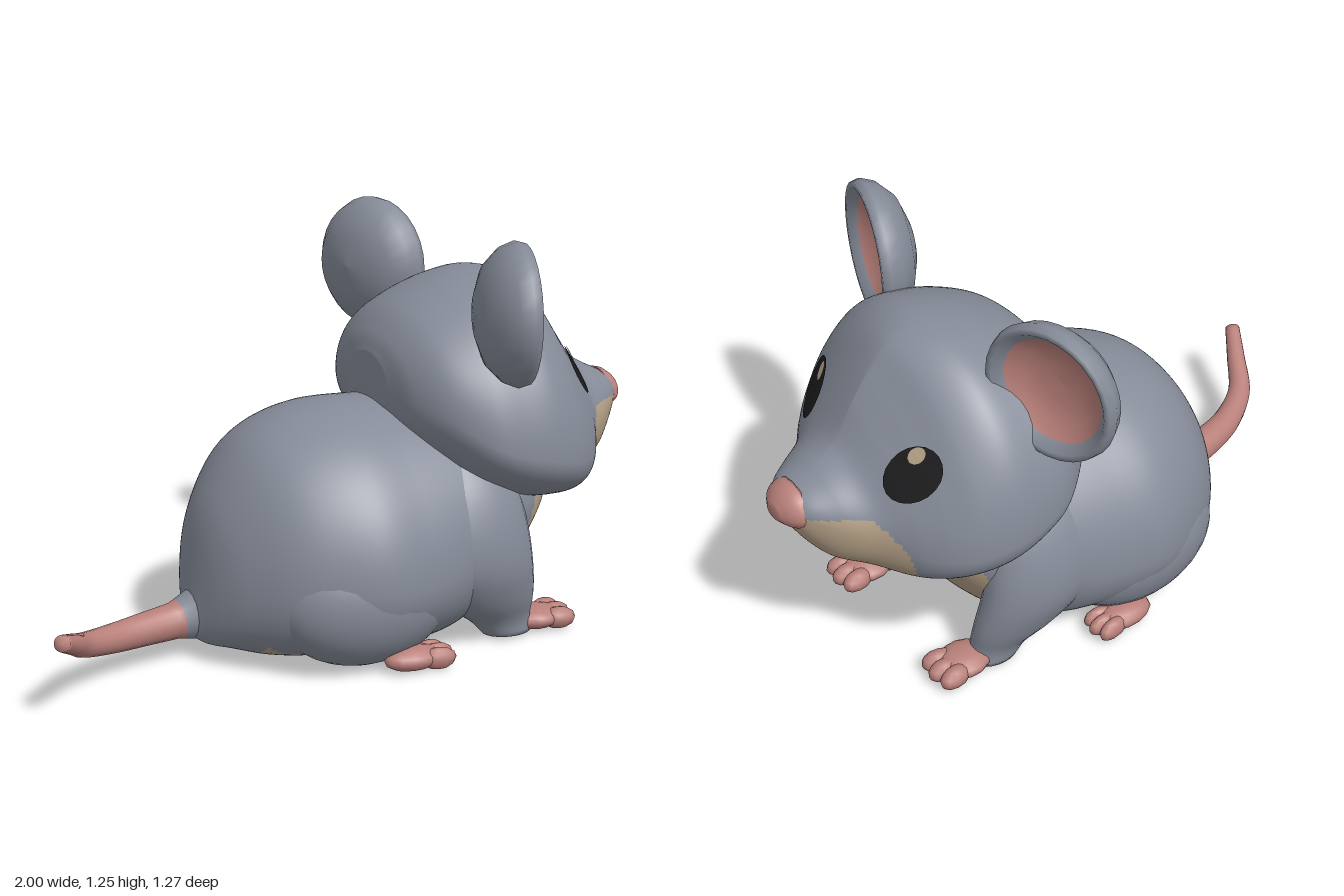
import * as THREE from 'three';

const material = (name, color) => {
  const m = new THREE.MeshStandardMaterial({ color });
  m.name = name;
  return m;
};

export function createModel() {
  const grey = material('grey fur', 0x858b98);
  const cream = material('cream fur', 0xb3a086);
  const pink = material('pink skin', 0xb9807a);
  const black = material('black eye', 0x1b1b1d);
  const model = new THREE.Group();
  model.name = 'mouse';

  function add(name, geometry, mat, parent = model) {
    const mesh = new THREE.Mesh(geometry, mat);
    mesh.name = name;
    parent.add(mesh);
    return mesh;
  }

  // Smoothly resample a short list of cross-sections
  function resample(sections, steps) {
    const size = sections[0].length;
    const curve = new THREE.CubicInterpolant(sections.map((_, i) => i), sections.flat(), size, new Float32Array(size));
    return Array.from({ length: steps + 1 }, (_, i) =>
      Array.from(curve.evaluate((i / steps) * (sections.length - 1))));
  }

  // Skin closed rings of points, with a material group chosen per quad
  function loft(rings, pick = () => 0) {
    const n = rings[0].length;
    const centre = (ring) => ring.reduce((s, p) => s.add(p), new THREE.Vector3()).divideScalar(n);
    const all = [rings[0].map(() => centre(rings[0])), ...rings, rings[0].map(() => centre(rings.at(-1)))];
    const points = all.flat();
    const lists = [[], []];
    for (let i = 0; i < all.length - 1; i++) {
      for (let j = 0; j < n; j++) {
        const k = (j + 1) % n;
        const [a, b, c, d] = [i * n + j, i * n + k, (i + 1) * n + k, (i + 1) * n + j];
        const mid = new THREE.Vector3().add(points[a]).add(points[b]).add(points[c]).add(points[d]).divideScalar(4);
        lists[pick(mid)].push(a, b, c, a, c, d);
      }
    }
    const geo = new THREE.BufferGeometry().setFromPoints(points);
    geo.setIndex(lists.flat());
    geo.addGroup(0, lists[0].length, 0);
    geo.addGroup(lists[0].length, lists[1].length, 1);
    geo.computeVertexNormals();
    return geo;
  }

  // Upright slices along x: [x, bottom, widest height, top, half width, upper slimness]
  function slices(sections, steps, sides, lowPower) {
    return resample(sections, steps).map(([x, bottom, mid, top, w, slim]) =>
      Array.from({ length: sides }, (_, j) => {
        const a = (j / sides) * Math.PI * 2;
        const c = Math.cos(a), s = Math.sin(a);
        const z = Math.sign(s) * Math.abs(s) ** (c < 0 ? lowPower : slim) * w;
        return new THREE.Vector3(x, mid + c * (c > 0 ? top - mid : mid - bottom), z);
      }));
  }

  // Body with a cream belly and chest
  const bodyRings = slices([
    [-0.475, 0.07, 0.13, 0.20, 0.06, 1], [-0.44, 0.05, 0.20, 0.40, 0.16, 1], [-0.39, 0.04, 0.24, 0.52, 0.25, 1],
    [-0.30, 0.02, 0.26, 0.64, 0.355, 1], [-0.19, 0.01, 0.27, 0.705, 0.425, 1], [-0.05, 0.005, 0.27, 0.735, 0.47, 1],
    [0.10, 0.005, 0.27, 0.735, 0.455, 1], [0.25, 0.015, 0.30, 0.73, 0.42, 1], [0.37, 0.06, 0.36, 0.72, 0.37, 1],
    [0.48, 0.17, 0.42, 0.68, 0.33, 1], [0.57, 0.30, 0.46, 0.62, 0.28, 1], [0.63, 0.40, 0.48, 0.56, 0.20, 1],
  ], 120, 96, 0.75);
  add('body', loft(bodyRings, (p) => {
    const belly = p.x > -0.33 && Math.abs(p.z) < 0.25 && p.y < 0.16;
    const chest = p.x > 0.34 && Math.abs(p.z) < 0.31 && p.y < 0.46;
    return belly || chest ? 1 : 0;
  }), [grey, cream]);

  // Head tapering to the snout, with a cream muzzle and jaw
  const headRings = slices([
    [0.115, 0.70, 0.78, 0.87, 0.12, 1], [0.14, 0.65, 0.76, 0.93, 0.25, 1], [0.20, 0.58, 0.73, 1.00, 0.36, 1],
    [0.30, 0.50, 0.66, 1.055, 0.44, 1], [0.40, 0.45, 0.62, 1.09, 0.465, 1], [0.50, 0.42, 0.60, 1.10, 0.47, 1],
    [0.59, 0.41, 0.58, 1.07, 0.445, 1.25], [0.66, 0.405, 0.57, 1.00, 0.40, 1.6], [0.72, 0.41, 0.57, 0.92, 0.335, 1.7],
    [0.79, 0.435, 0.60, 0.81, 0.235, 1.4], [0.87, 0.475, 0.63, 0.76, 0.165, 1.1], [0.93, 0.55, 0.66, 0.73, 0.11, 1],
    [0.96, 0.61, 0.665, 0.71, 0.075, 1],
  ], 130, 96, 0.75);
  const head = add('head', loft(headRings, (p) => {
    const side = Math.abs(p.z);
    const lip = 0.668 - 0.9 * Math.max(0, side - 0.2);
    const muzzle = p.y < lip && p.x > 0.715 + 0.3 * Math.max(0, p.y - 0.45);
    const jaw = p.y < 0.5 && p.x > 0.42 && side < 0.29;
    return muzzle || jaw ? 1 : 0;
  }), [grey, cream]);

  // Blunt nose closing the snout
  add('nose', loft(slices([
    [0.93, 0.605, 0.66, 0.735, 0.092, 1], [0.955, 0.605, 0.66, 0.728, 0.088, 1],
    [0.98, 0.62, 0.66, 0.71, 0.068, 1], [1.0, 0.64, 0.66, 0.685, 0.03, 1],
  ], 12, 16, 1)), [pink, pink]);

  // Thin disc laid onto the face
  head.updateMatrixWorld(true);
  const ray = new THREE.Raycaster();
  function faceSpot(name, y, z, ry, rz, lift, mat) {
    const geo = new THREE.RingGeometry(0.0001, 1, 20, 5);
    const pos = geo.attributes.position;
    for (let i = 0; i < pos.count; i++) {
      const py = y + pos.getY(i) * ry, pz = z - pos.getX(i) * rz;
      ray.set(new THREE.Vector3(2, py, pz), new THREE.Vector3(-1, 0, 0));
      const hit = ray.intersectObject(head)[0];
      pos.setXYZ(i, (hit ? hit.point.x : 0.68) + lift, py, pz);
    }
    geo.computeVertexNormals();
    add(name, geo, mat);
  }

  // Foot: a rounded pad with three short toes
  function foot(name, x, z, length, width) {
    const group = new THREE.Group();
    group.name = name;
    group.position.set(x, 0.042, z);
    const pad = add('pad', new THREE.SphereGeometry(1, 14, 8), pink, group);
    pad.scale.set(length, 0.036, width);
    for (const k of [-1, 0, 1]) {
      const toe = add('toe', new THREE.SphereGeometry(1, 10, 6), pink, group);
      toe.scale.set(0.055, 0.034, width * 0.45);
      toe.position.set(length * (k ? 0.7 : 0.8), -0.002, k * width * 0.6);
      toe.rotation.y = -k * 0.15;
    }
    model.add(group);
  }

  for (const side of [1, -1]) {
    const label = side > 0 ? 'left' : 'right';

    // Eye and glint
    faceSpot(label + 'Eye', 0.805, side * 0.25, 0.075, 0.07, 0.007, black);
    faceSpot(label + 'EyeGlint', 0.857, side * 0.242, 0.023, 0.022, 0.013, cream);

    // Cupped ear opening forwards and slightly outwards
    const ear = new THREE.Group();
    ear.name = label + 'Ear';
    const lathe = (pts) => new THREE.LatheGeometry(pts.map((p) => new THREE.Vector2(...p)), 28)
      .rotateZ(-Math.PI / 2);
    add('earShell', lathe([[0, -0.1], [0.08, -0.092], [0.15, -0.065], [0.195, -0.02], [0.21, 0.02],
      [0.203, 0.045], [0.185, 0.045], [0.16, 0.02]]), grey, ear);
    add('innerEar', lathe([[0.16, 0.02], [0.12, -0.012], [0.06, -0.025], [0, -0.028]]), pink, ear);
    ear.position.set(0.345, 1.045, side * 0.428);
    ear.rotation.y = -side * 0.3;
    model.add(ear);

    // Haunch reaching down to the hind foot
    const haunch = add(label + 'Haunch', new THREE.SphereGeometry(1, 32, 20), grey);
    haunch.scale.set(0.29, 0.22, 0.19);
    haunch.position.set(-0.04, 0.228, side * 0.275);

    // Front leg: level ellipses from ankle to shoulder [y, x, rx, z, rz]
    const legRings = resample([
      [0.015, 0.46, 0.08, 0.265, 0.06], [0.07, 0.43, 0.105, 0.268, 0.07], [0.15, 0.37, 0.16, 0.29, 0.095],
      [0.26, 0.315, 0.195, 0.31, 0.115], [0.38, 0.30, 0.19, 0.305, 0.115], [0.50, 0.30, 0.16, 0.28, 0.10],
      [0.60, 0.30, 0.08, 0.25, 0.06],
    ], 24).map(([y, x, rx, z, rz]) => Array.from({ length: 24 }, (_, j) => {
      const a = (j / 24) * Math.PI * 2;
      return new THREE.Vector3(x + Math.sin(a) * rx, y, side * z + Math.cos(a) * rz);
    }));
    add(label + 'FrontLeg', loft(legRings), [grey, grey]);

    foot(label + 'FrontFoot', 0.565, side * 0.262, 0.085, 0.073);
    foot(label + 'HindFoot', 0.065, side * 0.395, 0.095, 0.055);
  }

  // Tail curving to the left, with a furred root
  const path = new THREE.CatmullRomCurve3([
    [-0.38, 0.15, 0], [-0.5, 0.125, -0.005], [-0.62, 0.12, 0.015], [-0.74, 0.125, 0.055],
    [-0.85, 0.15, 0.125], [-0.92, 0.2, 0.225], [-0.98, 0.245, 0.315],
  ].map((p) => new THREE.Vector3(...p)));
  const steps = 40;
  const frames = path.computeFrenetFrames(steps);
  const tailRings = Array.from({ length: steps + 1 }, (_, i) => {
    const t = i / steps;
    const r = 0.024 + 0.038 * (1 - t) + 0.04 * Math.max(0, 0.2 - t) / 0.2;
    return Array.from({ length: 16 }, (_, j) => {
      const a = (j / 16) * Math.PI * 2;
      return path.getPointAt(t).addScaledVector(frames.normals[i], Math.cos(a) * r)
        .addScaledVector(frames.binormals[i], Math.sin(a) * r);
    });
  });
  add('tail', loft(tailRings, (p) => (p.x < -0.51 ? 1 : 0)), [grey, pink]);

  return model;
}
